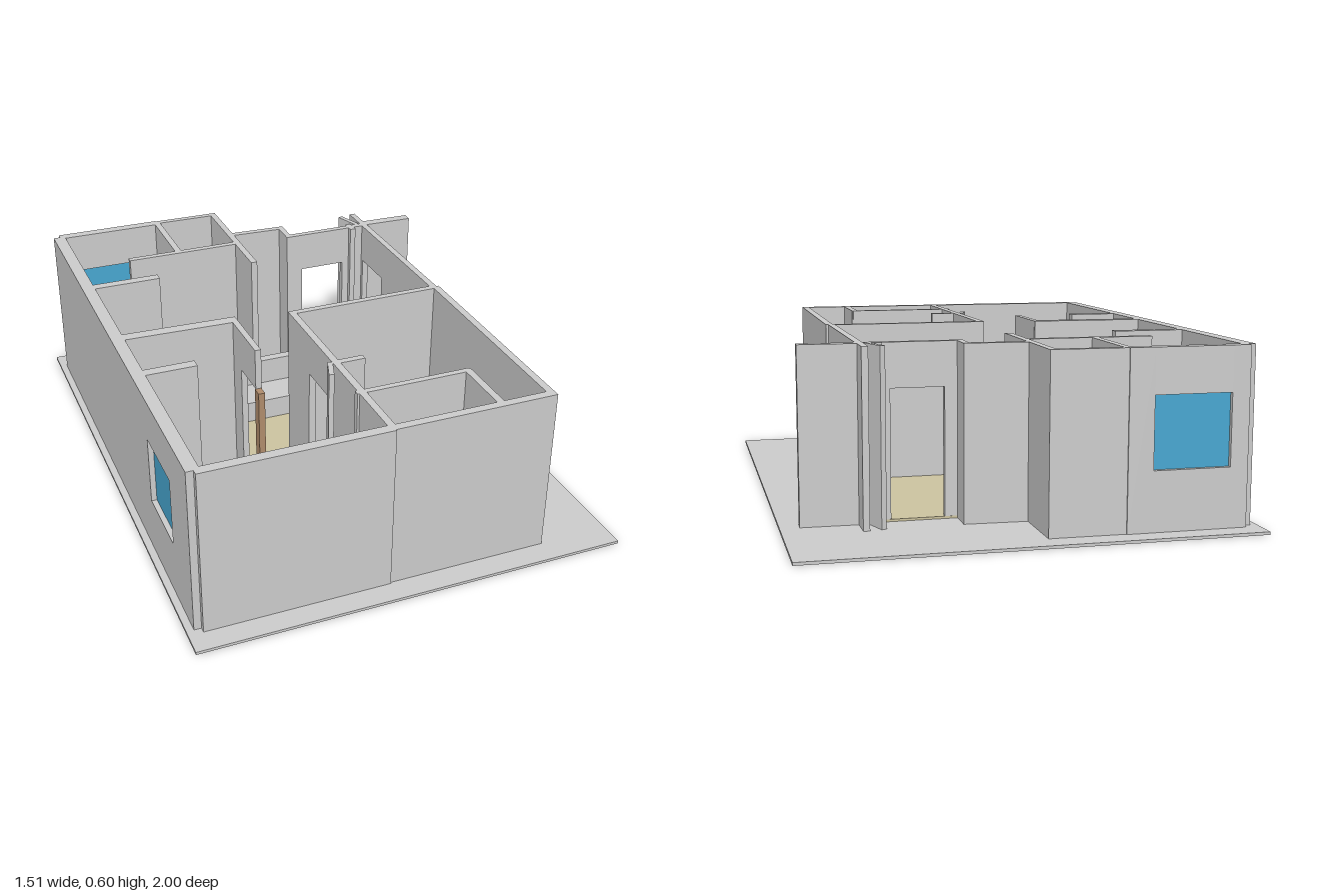
import * as THREE from 'three';

const mat = (name, color) => {
  const m = new THREE.MeshStandardMaterial({ color });
  m.name = name;
  return m;
};

export function createModel() {
  const house = new THREE.Group();
  house.name = 'cutawayHouse';
  const plaster = mat('grey plaster', 0xcccccc);
  const floorMat = mat('cream floor', 0xccc3a0);
  const wood = mat('brown wood', 0xb08c6c);
  const glass = mat('blue glass', 0x48a7d1);

  const BASE = 0.01, TOP = 0.6, HEAD = 0.45, SILL = 0.21;

  // Axis-aligned box given by its limits
  function block(name, material, x0, x1, y0, y1, z0, z1, parent = house) {
    const mesh = new THREE.Mesh(new THREE.BoxGeometry(x1 - x0, y1 - y0, z1 - z0), material);
    mesh.position.set((x0 + x1) / 2, (y0 + y1) / 2, (z0 + z1) / 2);
    mesh.name = name;
    parent.add(mesh);
    return mesh;
  }

  // Wall along a centre line; an optional opening is [start, end, sill, head]
  function wall(name, x1, z1, x2, z2, t, opening, glazed) {
    const g = new THREE.Group();
    g.name = name;
    const len = Math.hypot(x2 - x1, z2 - z1);
    const piece = (a, b, y0, y1) => block('wallPanel', plaster, a, b, y0, y1, -t / 2, t / 2, g);
    if (opening) {
      const [a, b, sill, head] = opening;
      if (a > 0) piece(0, a, BASE, TOP);
      if (b < len) piece(b, len, BASE, TOP);
      piece(a, b, head, TOP);
      if (sill > BASE) piece(a, b, BASE, sill);
      if (glazed) block('windowPane', glass, a, b, sill, head, -0.004, 0.004, g);
    } else piece(0, len, BASE, TOP);
    g.position.set(x1, 0, z1);
    g.rotation.y = -Math.atan2(z2 - z1, x2 - x1);
    house.add(g);
  }

  // Ground slab and cream floors
  block('groundSlab', plaster, -0.755, 0.755, 0, BASE, -1, 1);
  block('backRoomFloor', floorMat, -0.685, -0.31, BASE, 0.018, -0.89, -0.59);
  block('livingFloor', floorMat, -0.685, 0.485, BASE, 0.018, -0.59, 0.01);
  block('hallFloor', floorMat, -0.28, 0.485, BASE, 0.018, 0.01, 0.055);

  // Outer walls
  wall('westWall', -0.7075, -0.905, -0.7075, 0.9, 0.045, [1.365, 1.615, SILL, HEAD], true);
  wall('northWall', -0.705, -0.908, -0.3, -0.908, 0.038, [0.06, 0.32, SILL, HEAD], true);
  wall('northBathWall', -0.3, -0.911, -0.05, -0.907, 0.024);
  wall('bathEastWall', -0.057, -0.92, -0.057, -0.39, 0.024);
  wall('porchBackWall', -0.05, -0.678, 0.167, -0.668, 0.025);
  wall('porchSideWall', 0.157, -0.68, 0.157, -0.565, 0.022);
  wall('entranceWall', 0.15, -0.577, 0.5, -0.577, 0.024, [0.06, 0.24, BASE, HEAD]);
  wall('eastLivingWall', 0.488, -0.57, 0.49, 0.06, 0.024, [0.02, 0.205, BASE, HEAD]);
  wall('eastBedroomWall', 0.498, 0.06, 0.49, 0.912, 0.026);
  wall('southWestWall', -0.705, 0.902, -0.065, 0.902, 0.036);
  wall('southEastWall', -0.065, 0.9, 0.503, 0.9, 0.03);

  // Projecting screen wall and fins beside the entrance
  wall('screenWall', 0.485, -0.588, 0.69, -0.583, 0.038);
  wall('entranceFin', 0.488, -0.695, 0.488, -0.57, 0.022);
  wall('slantedFin', 0.43, -0.685, 0.463, -0.59, 0.018);
  wall('entranceStub', 0.428, -0.6, 0.428, -0.547, 0.022);

  // Inner walls
  wall('bathSouthWall', -0.5, -0.592, -0.06, -0.592, 0.024);
  wall('bathWestWall', -0.3, -0.9, -0.3, -0.6, 0.024);
  wall('kitchenStub', -0.69, -0.403, -0.437, -0.403, 0.036);
  wall('westMiddleWall', -0.69, 0.026, -0.278, 0.04, 0.042);
  wall('hallWall', -0.288, 0.03, -0.285, 0.285, 0.022, [0.11, 0.255, BASE, HEAD]);
  wall('wardrobeStub', -0.69, 0.293, -0.507, 0.293, 0.038);
  wall('eastMiddleWall', -0.085, 0.065, 0.5, 0.063, 0.024);
  wall('bedroomWall', -0.075, 0.055, -0.068, 0.9, 0.025, [0.2, 0.39, BASE, HEAD]);
  wall('bedroomStub', -0.065, 0.458, 0.03, 0.458, 0.024);
  wall('ensuiteNorthWall', -0.09, 0.667, 0.32, 0.667, 0.022);
  wall('ensuiteEastWall', 0.312, 0.66, 0.312, 0.89, 0.025);
  wall('openDoorLeaf', -0.09, 0.45, -0.118, 0.532, 0.018);
  block('doorPost', wood, -0.299, -0.276, BASE, HEAD, 0.285, 0.322);

  // Sofa
  const sofa = new THREE.Group();
  sofa.name = 'sofa';
  house.add(sofa);
  block('sofaBack', plaster, -0.33, 0.125, 0.018, 0.2, -0.355, -0.32, sofa);
  block('sofaSeat', plaster, -0.292, 0.09, 0.018, 0.1, -0.32, -0.185, sofa);
  for (const [a, b] of [[-0.33, -0.292], [0.09, 0.125]])
    block('sofaArm', plaster, a, b, 0.018, 0.145, -0.32, -0.185, sofa);

  // Beds: wooden frame, headboard, mattress and two pillows
  function bed(name, x, z) {
    const g = new THREE.Group();
    g.name = name;
    g.position.set(x, 0, z);
    house.add(g);
    block('headboard', wood, -0.188, 0.188, BASE, 0.21, 0, 0.022, g);
    block('footboard', wood, -0.188, 0.188, BASE, 0.1, 0.402, 0.412, g);
    for (const s of [-1, 1]) {
      const c = s * 0.183;
      block('sideRail', wood, c - 0.005, c + 0.005, BASE, 0.1, 0.022, 0.402, g);
      const p = s * 0.083;
      block('pillow', plaster, p - 0.075, p + 0.075, 0.12, 0.145, 0.028, 0.1, g);
    }
    block('mattress', plaster, -0.178, 0.178, 0.02, 0.12, 0.022, 0.402, g);
  }
  bed('westBed', -0.402, 0.39);
  bed('eastBed', 0.213, 0.278);

  return house;
}
